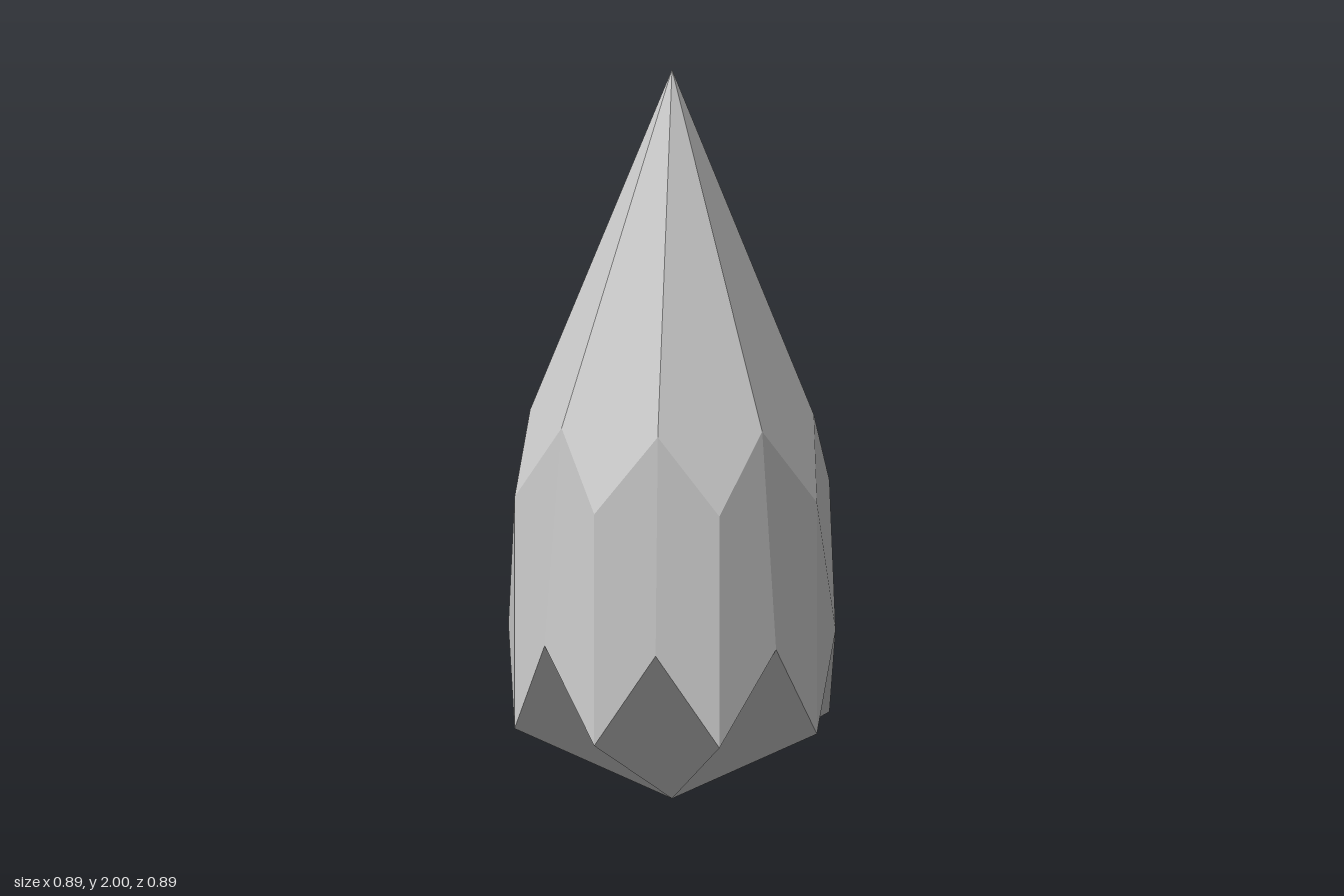
import * as THREE from 'three';

const SIDES = 8;
const STEP = (Math.PI * 2) / SIDES;

// point at angle k * STEP around the y axis (k = 0 faces +z)
const ring = (r, y) => (k) =>
  new THREE.Vector3(r * Math.sin(k * STEP), y, r * Math.cos(k * STEP));

const top = new THREE.Vector3(0, 2, 0);
const bottom = new THREE.Vector3(0, 0, 0);
const shoulderPeak = ring(0.385, 1.06);
const shoulderValley = ring(0.444, 0.85);
const basePeak = ring(0.444, 0.47);
const baseValley = ring(0.444, 0.215);

// each four-cornered facet is a fan from its first corner with one shared normal
function facetMesh(name, facets, material) {
  const positions = [];
  const normals = [];
  for (const [a, b, c, d] of facets) {
    const normal = c.clone().sub(a).cross(d.clone().sub(b)).normalize();
    for (const p of [a, b, c, a, c, d]) {
      positions.push(p.x, p.y, p.z);
      normals.push(normal.x, normal.y, normal.z);
    }
  }
  const geometry = new THREE.BufferGeometry();
  geometry.setAttribute('position', new THREE.Float32BufferAttribute(positions, 3));
  geometry.setAttribute('normal', new THREE.Float32BufferAttribute(normals, 3));
  const mesh = new THREE.Mesh(geometry, material);
  mesh.name = name;
  return mesh;
}

export function createModel() {
  const material = new THREE.MeshStandardMaterial({ color: 0xcccccc });
  const point = [];
  const girdle = [];
  const base = [];

  for (let k = 0; k < SIDES; k++) {
    const l = k - 0.5;
    const r = k + 0.5;
    // long kite facets meeting at the tip
    point.push([top, shoulderPeak(k), shoulderValley(r), shoulderPeak(k + 1)]);
    // two halves of each side panel
    girdle.push([basePeak(k), baseValley(r), shoulderValley(r), shoulderPeak(k)]);
    girdle.push([basePeak(k), shoulderPeak(k), shoulderValley(l), baseValley(l)]);
    // folded kite facets running in to the lower tip
    base.push([basePeak(k), baseValley(l), bottom, baseValley(r)]);
  }

  const group = new THREE.Group();
  group.name = 'crystal';
  group.add(
    facetMesh('crystalPoint', point, material),
    facetMesh('crystalSides', girdle, material),
    facetMesh('crystalBase', base, material)
  );
  return group;
}
